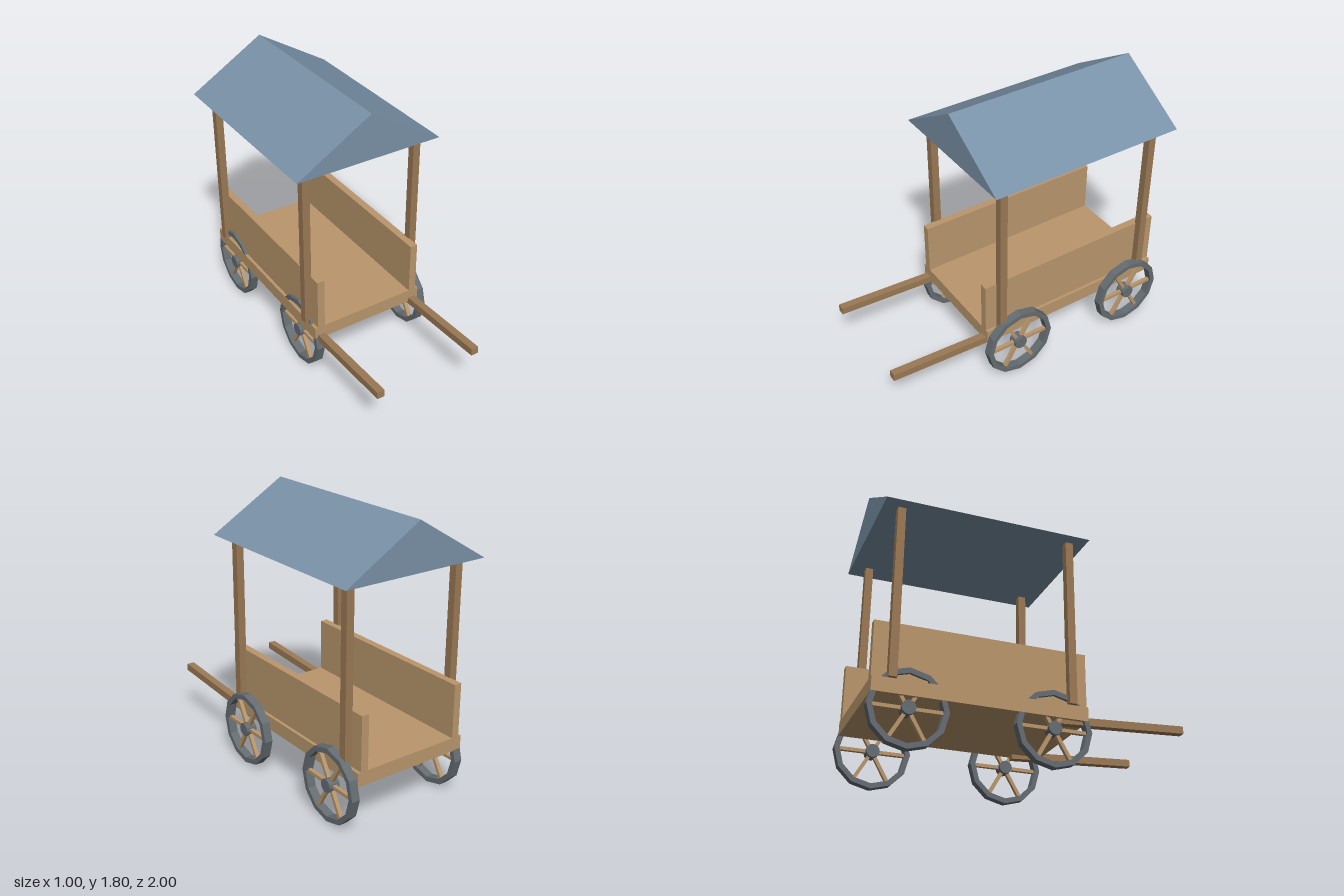
import * as THREE from 'three';

const mat = (color) => new THREE.MeshStandardMaterial({ color, flatShading: true });

export function createModel() {
  const cart = new THREE.Group();
  cart.name = 'marketCart';
  const plank = mat(0xba976c), timber = mat(0x9b7a55), iron = mat(0x656d72), canvas = mat(0x7a92a8);

  const add = (parent, name, geometry, material, x = 0, y = 0, z = 0) => {
    const mesh = new THREE.Mesh(geometry, material);
    mesh.name = name;
    mesh.position.set(x, y, z);
    parent.add(mesh);
    return mesh;
  };

  // Bed and roof share the same length
  const back = -0.98, length = 1.32, mid = back + length / 2;
  add(cart, 'floor', new THREE.BoxGeometry(0.792, 0.09, length), plank, 0, 0.355, mid);

  // Gabled roof, a closed prism
  const gable = new THREE.Shape([
    new THREE.Vector2(-0.5, 1.5), new THREE.Vector2(0.5, 1.5), new THREE.Vector2(0, 1.8),
  ]);
  add(cart, 'roof', new THREE.ExtrudeGeometry(gable, { depth: length, bevelEnabled: false }), canvas, 0, 0, back);

  // Wheel: twelve-sided rim, hub and three bars forming six spokes
  const ringPoints = (r) => Array.from({ length: 12 }, (_, i) =>
    new THREE.Vector2(r * Math.cos(i * Math.PI / 6), r * Math.sin(i * Math.PI / 6)));
  const rimShape = new THREE.Shape(ringPoints(0.24));
  rimShape.holes.push(new THREE.Path(ringPoints(0.207)));
  const rimGeo = new THREE.ExtrudeGeometry(rimShape, { depth: 0.055, bevelEnabled: false });
  rimGeo.translate(0, 0, -0.0275).rotateY(Math.PI / 2);
  const hubGeo = new THREE.CylinderGeometry(0.043, 0.043, 0.072, 12).rotateZ(Math.PI / 2);
  const spokeGeo = new THREE.BoxGeometry(0.025, 0.022, 0.42);

  const makeWheel = (name, x, z) => {
    const wheel = new THREE.Group();
    wheel.name = name;
    wheel.position.set(x, 0.24, z);
    add(wheel, 'rim', rimGeo, iron);
    add(wheel, 'hub', hubGeo, iron);
    for (let i = 0; i < 3; i++) {
      add(wheel, 'spokes', spokeGeo, plank).rotation.x = i * Math.PI / 3;
    }
    cart.add(wheel);
  };

  for (const [side, s] of [['left', 1], ['right', -1]]) {
    add(cart, side + 'SideBoard', new THREE.BoxGeometry(0.05, 0.35, length), plank, s * 0.35, 0.575, mid);

    // Pull handle, rising slightly towards its tip
    const tilt = 0.0574, reach = 0.86;
    const handle = add(cart, side + 'Handle', new THREE.BoxGeometry(0.05, 0.048, reach), timber,
      s * 0.35, 0.353 - Math.sin(tilt) * reach / 2, 0.999 - Math.cos(tilt) * reach / 2);
    handle.rotation.x = -tilt;

    for (const [end, postZ, wheelZ] of [['Front', 0.235, 0.122], ['Back', -0.865, -0.76]]) {
      add(cart, side + end + 'Post', new THREE.BoxGeometry(0.05, 1.1, 0.05), timber, s * 0.395, 0.95, postZ);
      // Both wheel rows are shifted slightly to the same side
      makeWheel(side + end + 'Wheel', s * 0.395 + 0.028, wheelZ);
    }
  }
  return cart;
}
